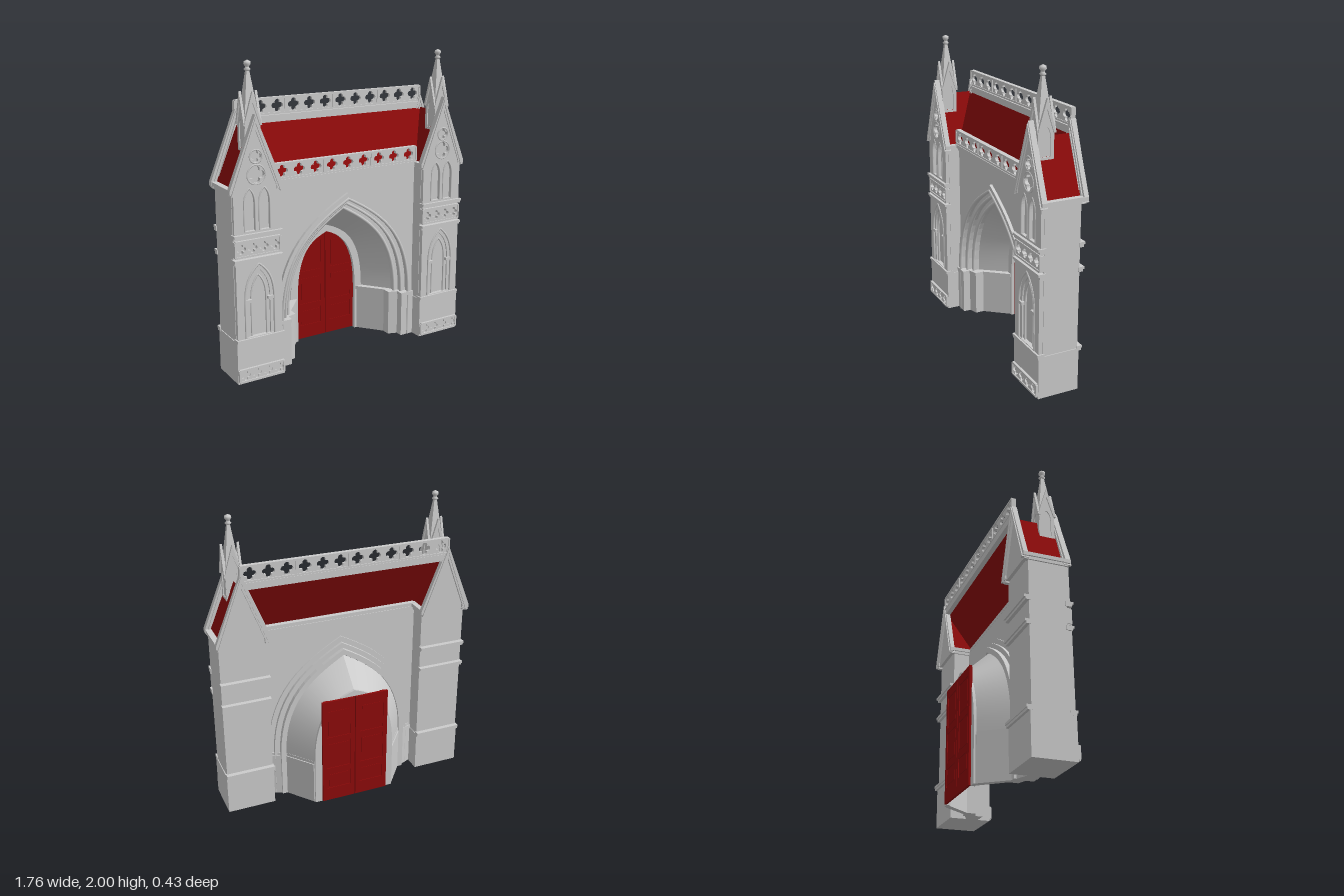
import * as THREE from 'three';
import { toCreasedNormals } from 'three/addons/utils/BufferGeometryUtils.js';

const stone = new THREE.MeshStandardMaterial({ color: 0xcccccc, side: THREE.DoubleSide });
const red = new THREE.MeshStandardMaterial({ color: 0x8c0a0a, side: THREE.DoubleSide });
const V = (x, y) => new THREE.Vector2(x, y);

function add(parent, name, geo, mat = stone) {
  const m = new THREE.Mesh(geo, mat);
  m.name = name;
  parent.add(m);
  return m;
}
function box(parent, name, x0, x1, y0, y1, z0, z1, mat) {
  const g = new THREE.BoxGeometry(x1 - x0, y1 - y0, z1 - z0);
  g.translate((x0 + x1) / 2, (y0 + y1) / 2, (z0 + z1) / 2);
  return add(parent, name, g, mat);
}
// Flat plate with holes, between two depths
function plate(parent, name, pts, holes, z0, z1, mat) {
  const s = new THREE.Shape(pts);
  for (const h of holes) s.holes.push(new THREE.Path(h));
  const g = new THREE.ExtrudeGeometry(s, { depth: z1 - z0, bevelEnabled: false });
  g.translate(0, 0, z0);
  return add(parent, name, g, mat);
}
const rect = (x0, x1, y0, y1) => [V(x0, y0), V(x1, y0), V(x1, y1), V(x0, y1)];

// Pointed arch outline, from right foot over the apex to left foot
function arch(w, h, spring = 0.32, { cx = 0, y0 = 0, c1 = 0.6, c2 = 0.82, n = 14 } = {}) {
  const r = h - spring;
  const half = new THREE.CubicBezierCurve(V(w, spring), V(w, spring + c1 * r),
    V(w * 0.5, spring + c2 * r), V(0, h)).getPoints(n);
  const right = [V(w, y0), ...half];
  const left = right.slice(0, -1).reverse().map(p => V(-p.x, p.y));
  return [...right, ...left].map(p => V(p.x + cx, p.y));
}
const band = (parent, name, outer, inner, z0, z1) =>
  plate(parent, name, [...outer, ...inner.slice().reverse()], [], z0, z1);
// Round moulding following an outline
function bead(parent, name, pts, z, r) {
  const path = new THREE.CurvePath();
  for (let i = 0; i + 1 < pts.length; i++) {
    path.add(new THREE.LineCurve3(new THREE.Vector3(pts[i].x, pts[i].y, z),
      new THREE.Vector3(pts[i + 1].x, pts[i + 1].y, z)));
  }
  add(parent, name, new THREE.TubeGeometry(path, 64, r, 6));
}
// Four-lobed tracery opening of overall radius R
function quatrefoil(cx, cy, R) {
  const d = R / 1.8, r = d * 0.8, a = 1.87, pts = [];
  for (let k = 0; k < 4; k++) {
    const t = k * Math.PI / 2;
    for (let i = 0; i <= 8; i++) {
      const u = t - a + 2 * a * i / 8;
      pts.push(V(cx + d * Math.cos(t) + r * Math.cos(u), cy + d * Math.sin(t) + r * Math.sin(u)));
    }
  }
  return pts;
}
// Strip of quatrefoils with rails and posts between groups
function tracery(parent, name, x0, x1, y0, y1, z0, z1, groups, per) {
  const g = new THREE.Group();
  g.name = name;
  parent.add(g);
  const n = groups * per, step = (x1 - x0) / n, cy = (y0 + y1) / 2;
  const R = Math.min(step, y1 - y0) * 0.42, holes = [];
  for (let i = 0; i < n; i++) {
    const cx = x0 + (i + 0.5) * step;
    holes.push(quatrefoil(cx, cy, R));
  }
  plate(g, 'traceryPlate', rect(x0, x1, y0, y1), holes, z0, z1);
  const e = 0.006;
  for (const y of [y0, y1]) box(g, 'rail', x0, x1, y - e, y + e, z0 - e, z1 + e);
  for (let i = 0; i <= groups; i++) {
    const x = x0 + (x1 - x0) * i / groups;
    box(g, 'post', x - e, x + e, y0, y1, z0 - e, z1 + e);
  }
}

function pinnacle(parent) {
  const g = new THREE.Group();
  g.name = 'pinnacle';
  g.position.z = 0.11;
  parent.add(g);
  box(g, 'shaft', -0.045, 0.045, 1.45, 1.68, -0.045, 0.045);
  // Gabled, pierced panel on each face
  for (let k = 0; k < 4; k++) {
    const side = new THREE.Group();
    side.name = 'pinnacleFace';
    side.rotation.y = k * Math.PI / 2;
    g.add(side);
    plate(side, 'facePanel', [V(-0.05, 1.46), V(0.05, 1.46), V(0.05, 1.65), V(0, 1.76), V(-0.05, 1.65)],
      [arch(0.028, 1.66, 1.59, { y0: 1.48, n: 5 })], 0.04, 0.052);
    plate(side, 'faceGable', [V(-0.06, 1.62), V(-0.045, 1.62), V(0, 1.76), V(0.045, 1.62), V(0.06, 1.62), V(0, 1.82)],
      [], 0.045, 0.06);
  }
  const spire = new THREE.CylinderGeometry(0.011, 0.064, 0.28, 4).toNonIndexed();
  spire.computeVertexNormals();
  spire.rotateY(Math.PI / 4).translate(0, 1.81, 0);
  add(g, 'spire', spire);
  const profile = [[0, 1.93], [0.012, 1.935], [0.022, 1.945], [0.012, 1.955], [0.012, 1.962], [0.022, 1.975], [0.02, 1.99], [0, 2]];
  add(g, 'finial', new THREE.LatheGeometry(profile.map(p => V(...p)), 10));
}

function tower(parent, x) {
  const g = new THREE.Group();
  g.name = 'tower';
  g.position.x = x;
  parent.add(g);
  plate(g, 'towerBody', [V(-0.158, 0), V(0.158, 0), V(0.158, 1.22), V(0.13, 1.25), V(0, 1.56), V(-0.13, 1.25), V(-0.158, 1.22)],
    [], -0.068, 0.17);
  box(g, 'towerBase', -0.163, 0.163, 0, 0.28, -0.076, 0.2);
  tracery(g, 'baseFrieze', -0.155, 0.155, 0.018, 0.095, 0.195, 0.21, 1, 4);
  // String courses on front and back faces
  for (const [y, d] of [[0.265, 0.012], [0.28, 0.018], [0.8, 0.018], [0.785, 0.008], [0.94, 0.01], [0.956, 0.02]]) {
    box(g, 'stringCourse', -0.164, 0.164, y, y + 0.016, 0.16, 0.192 + d);
    box(g, 'stringCourseBack', -0.164, 0.164, y, y + 0.016, -0.08 - d, -0.06);
  }
  tracery(g, 'middleFrieze', -0.152, 0.152, 0.83, 0.928, 0.165, 0.195, 1, 4);

  // Lower niche
  const a1 = arch(0.1, 0.775, 0.54, { y0: 0.3 }), a2 = arch(0.075, 0.74, 0.54, { y0: 0.3 });
  const a3 = arch(0.052, 0.7, 0.54, { y0: 0.3 });
  plate(g, 'nichePanel', rect(-0.155, 0.155, 0.285, 0.8), [a1], 0.165, 0.198);
  band(g, 'nicheOuterArch', a1, a2, 0.165, 0.19);
  band(g, 'nicheInnerArch', a2, a3, 0.165, 0.18);
  bead(g, 'nicheHood', a1, 0.198, 0.007);
  bead(g, 'nicheShafts', a3, 0.18, 0.006);
  for (const s of [-1, 1]) box(g, 'nicheCapital', s * 0.08 - 0.024, s * 0.08 + 0.024, 0.53, 0.55, 0.17, 0.203);

  // Gabled tracery panel above
  const lancets = [-1, 1].map(s => arch(0.037, 1.25, 1.15, { cx: s * 0.05, y0: 0.985, n: 8 }));
  plate(g, 'gablePanel', [V(-0.155, 0.97), V(0.155, 0.97), V(0.155, 1.25), V(0, 1.63), V(-0.155, 1.25)],
    [...lancets, quatrefoil(0, 1.33, 0.054), quatrefoil(0, 1.44, 0.036)], 0.165, 0.193);
  lancets.forEach(l => bead(g, 'lancetMoulding', l, 0.193, 0.005));
  for (const [y, r] of [[1.33, 0.06], [1.44, 0.041]]) {
    add(g, 'roundMoulding', new THREE.TorusGeometry(r, 0.005, 5, 24)).position.set(0, y, 0.193);
  }
  plate(g, 'backGable', [V(-0.15, 1.22), V(0.15, 1.22), V(0, 1.62)], [], -0.09, -0.066);

  // Copings and eaves
  for (const [z0, z1] of [[0.165, 0.2], [-0.105, -0.075]]) {
    plate(g, 'coping', [V(-0.178, 1.225), V(-0.142, 1.225), V(0, 1.6), V(0.142, 1.225), V(0.178, 1.225), V(0.178, 1.25), V(0, 1.69), V(-0.178, 1.25)],
      [], z0, z1);
    plate(g, 'copingFillet', [V(-0.172, 1.215), V(-0.155, 1.215), V(0, 1.64), V(0.155, 1.215), V(0.172, 1.215), V(0, 1.675)],
      [], z0 - 0.007, z1 + 0.007);
  }
  for (const s of [-1, 1]) {
    const xs = [s * 0.13, s * 0.176].sort((a, b) => a - b), xl = [s * 0.14, s * 0.167].sort((a, b) => a - b);
    box(g, 'eaves', xs[0], xs[1], 1.228, 1.252, -0.1, 0.198);
    box(g, 'eavesLower', xl[0], xl[1], 1.208, 1.229, -0.095, 0.19);
    quad(g, 'towerRoof', [0, 1.59, 0.172], [0, 1.59, -0.08], [s * 0.142, 1.245, -0.08], [s * 0.142, 1.245, 0.172]);
  }
  pinnacle(g);
}
function quad(parent, name, a, b, c, d) {
  const geo = new THREE.BufferGeometry();
  geo.setAttribute('position', new THREE.Float32BufferAttribute([a, b, c, a, c, d].flat(), 3));
  geo.computeVertexNormals();
  add(parent, name, geo, red);
}
// Skin between two arches at different depths
function loft(parent, name, A, zA, B, zB) {
  const pos = [], idx = [];
  A.forEach((p, i) => {
    pos.push(p.x, p.y, zA, B[i].x, B[i].y, zB);
    if (i) idx.push(2 * i - 2, 2 * i - 1, 2 * i, 2 * i, 2 * i - 1, 2 * i + 1);
  });
  const geo = new THREE.BufferGeometry();
  geo.setAttribute('position', new THREE.Float32BufferAttribute(pos, 3));
  geo.setIndex(idx);
  geo.computeVertexNormals();
  add(parent, name, toCreasedNormals(geo, 0.45));
}

export function createModel() {
  const root = new THREE.Group();
  root.name = 'gatehouse';
  for (const s of [-1, 1]) tower(root, s * 0.7);

  // Wall pierced by the great arch
  plate(root, 'wall', [V(-0.56, 0), V(-0.56, 1.23), V(0.56, 1.23), V(0.56, 0), ...arch(0.515, 1.085)], [], 0.045, 0.09);
  box(root, 'cornice', -0.548, 0.548, 1.232, 1.256, 0.045, 0.118);
  box(root, 'corniceLower', -0.548, 0.548, 1.212, 1.234, 0.05, 0.104);
  tracery(root, 'frontParapet', -0.54, 0.54, 1.262, 1.355, 0.085, 0.107, 3, 3);

  // Stepped arch mouldings and splay
  const doorCurve = { c1: 0.75, c2: 0.9 };
  const rings = [arch(0.532, 1.105), arch(0.497, 1.065), arch(0.46, 1.03), arch(0.425, 0.99)];
  const depths = [[0.035, 0.11], [0.015, 0.075], [-0.015, 0.04]];
  depths.forEach(([z0, z1], i) => {
    band(root, 'archMoulding', rings[i], rings[i + 1], z0, z1);
    bead(root, 'archBead', rings[i + 1], z1, 0.01);
  });
  const frameOuter = arch(0.285, 0.815, 0.32, doorCurve);
  loft(root, 'archSplay', arch(0.425, 0.985), 0, frameOuter, -0.18);
  band(root, 'doorFrame', frameOuter, arch(0.232, 0.77, 0.32, doorCurve), -0.198, -0.172);

  // Plinths at the arch feet, drawn in plan
  const plan = [[0.542, 0.115], [0.44, 0.115], [0.44, 0.065], [0.378, 0.045], [0.378, -0.015], [0.246, -0.175], [0.246, -0.196], [0.292, -0.185], [0.425, -0.015], [0.542, 0.035]];
  for (const s of [-1, 1]) {
    for (const [y, h, k] of [[0, 0.3, 0], [0.298, 0.022, 0.005]]) {
      const shape = new THREE.Shape(plan.map(([x, z]) => V(s * (x - k), -z - k)));
      const geo = new THREE.ExtrudeGeometry(shape, { depth: h, bevelEnabled: false });
      geo.rotateX(-Math.PI / 2).translate(0, y, 0);
      add(root, k ? 'plinthCap' : 'plinth', geo);
    }
    // Panelled door leaf
    const span = (a, b) => s > 0 ? [a, b] : [-b, -a];
    const leaf = span(0.003, 0.235), panel = span(0.035, 0.205), inner = span(0.05, 0.19), hinge = span(0.19, 0.215);
    const rows = [[0.1, 0.22], [0.26, 0.46], [0.5, 0.71]];
    plate(root, 'doorLeaf', rect(...leaf, 0.004, 0.772), rows.map(r => rect(...panel, ...r)), -0.212, -0.196, red);
    for (const [y0, y1] of rows) {
      box(root, 'doorPanel', ...panel, y0, y1, -0.207, -0.201, red);
      box(root, 'doorPanelField', ...inner, y0 + 0.015, y1 - 0.015, -0.21, -0.198, red);
    }
    box(root, 'doorHinge', ...hinge, 0.62, 0.77, -0.2, -0.187, red);
  }

  // Main roof with ridge parapet
  quad(root, 'mainRoof', [-0.7, 1.25, 0.082], [0.7, 1.25, 0.082], [0.7, 1.588, -0.072], [-0.7, 1.588, -0.072]);
  box(root, 'ridgeBase', -0.7, 0.7, 1.585, 1.63, -0.104, -0.07);
  tracery(root, 'ridgeParapet', -0.7, 0.7, 1.638, 1.735, -0.1, -0.082, 4, 3);
  return root;
}
